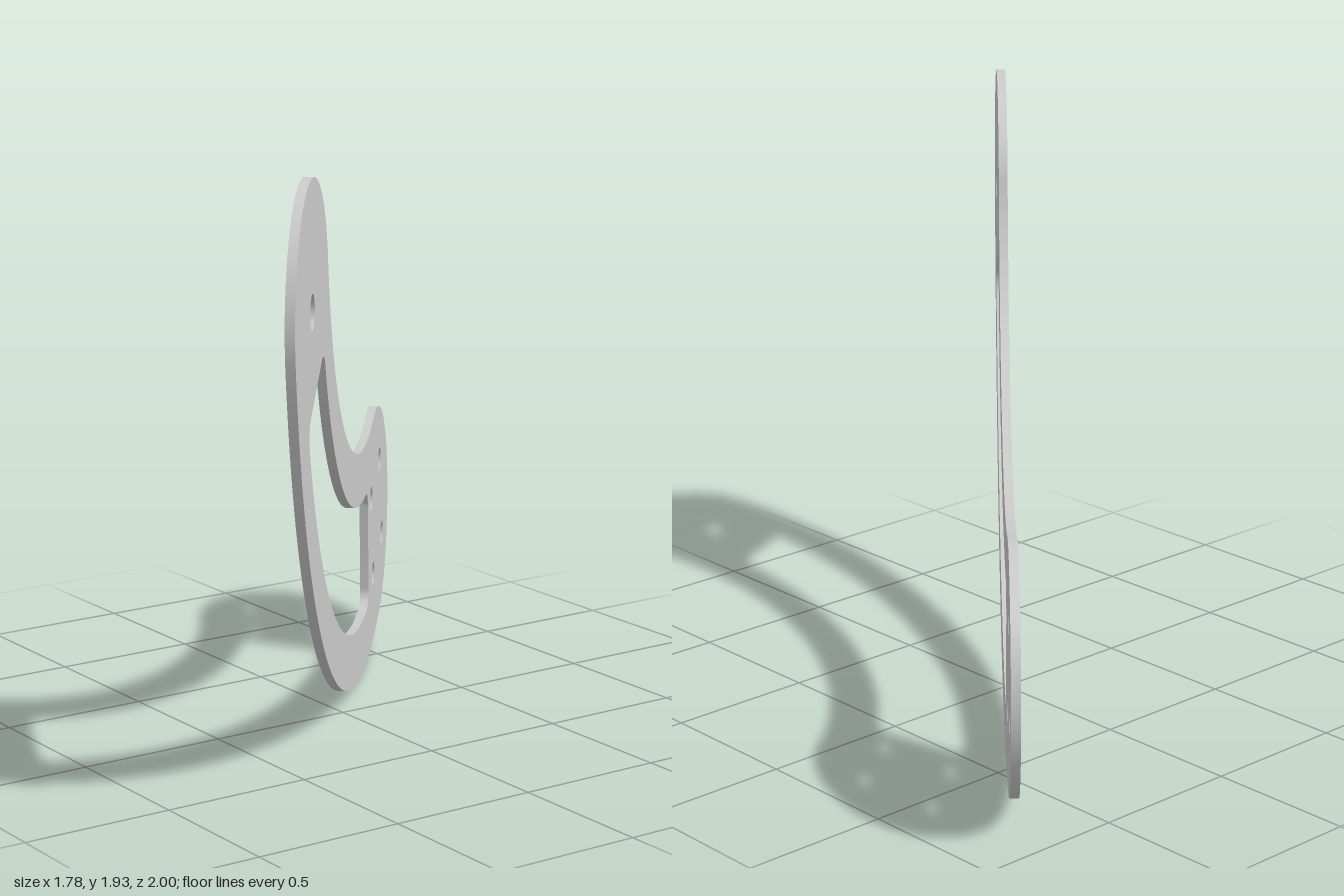
import * as THREE from 'three';
import { toCreasedNormals } from 'three/addons/utils/BufferGeometryUtils.js';

const rad = THREE.MathUtils.degToRad;

export function createModel() {
  const group = new THREE.Group();
  group.name = 'curvedBracket';

  // Shared centre of the concentric arcs, and the plate's angular span
  const cx = 0.53, cy = 1.897, mid = 1.497, half = 0.4;
  const a0 = rad(194.2), a1 = rad(285.3);
  const polar = (r, a) => [cx + r * Math.cos(a), cy + r * Math.sin(a)];

  // Curved band with round ends
  const outline = new THREE.Shape();
  outline.absarc(cx, cy, mid + half, a0, a1, false);
  outline.absarc(...polar(mid, a1), half, a1, a1 + Math.PI, false);
  outline.absarc(cx, cy, mid - half, a1, a0, true);
  outline.absarc(...polar(mid, a0), half, a0 + Math.PI, a0 + 2 * Math.PI, false);
  outline.closePath();

  // Curved window with radial ends and filleted corners
  const r1 = 1.28, r2 = 1.71, f = 0.065, q = Math.PI / 2;
  const s0 = rad(204.5), s1 = rad(274.6);
  const dOut = Math.asin(f / (r2 - f)), dIn = Math.asin(f / (r1 + f));
  const slot = new THREE.Path();
  slot.absarc(cx, cy, r2, s0 + dOut, s1 - dOut, false);
  slot.absarc(...polar(r2 - f, s1 - dOut), f, s1 - dOut, s1 + q, false);
  slot.absarc(...polar(r1 + f, s1 - dIn), f, s1 + q, s1 - dIn + 2 * q, false);
  slot.absarc(cx, cy, r1, s1 - dIn, s0 + dIn, true);
  slot.absarc(...polar(r1 + f, s0 + dIn), f, s0 + dIn + 2 * q, s0 + 3 * q, false);
  slot.absarc(...polar(r2 - f, s0 + dOut), f, s0 + 3 * q, s0 + dOut + 4 * q, false);
  slot.closePath();
  outline.holes.push(slot);

  // Pivot hole and four bolt holes
  const holes = [
    [-0.922, 1.53, 0.055],
    [0.747, 0.561, 0.042], [1.033, 0.642, 0.042],
    [0.819, 0.267, 0.042], [1.112, 0.348, 0.042],
  ];
  for (const [x, y, r] of holes) {
    outline.holes.push(new THREE.Path().absarc(x, y, r, 0, Math.PI * 2, true));
  }

  // Thin plate, standing upright and turned about the vertical axis
  const thickness = 0.03;
  const geometry = new THREE.ExtrudeGeometry(outline, {
    depth: thickness, bevelEnabled: false, curveSegments: 40,
  });
  geometry.translate(0, 0, -thickness / 2);
  const plate = new THREE.Mesh(
    toCreasedNormals(geometry, rad(35)),
    new THREE.MeshStandardMaterial({ color: 0xcccccc }),
  );
  plate.name = 'plate';
  plate.rotation.y = rad(48.4);
  group.add(plate);
  return group;
}
